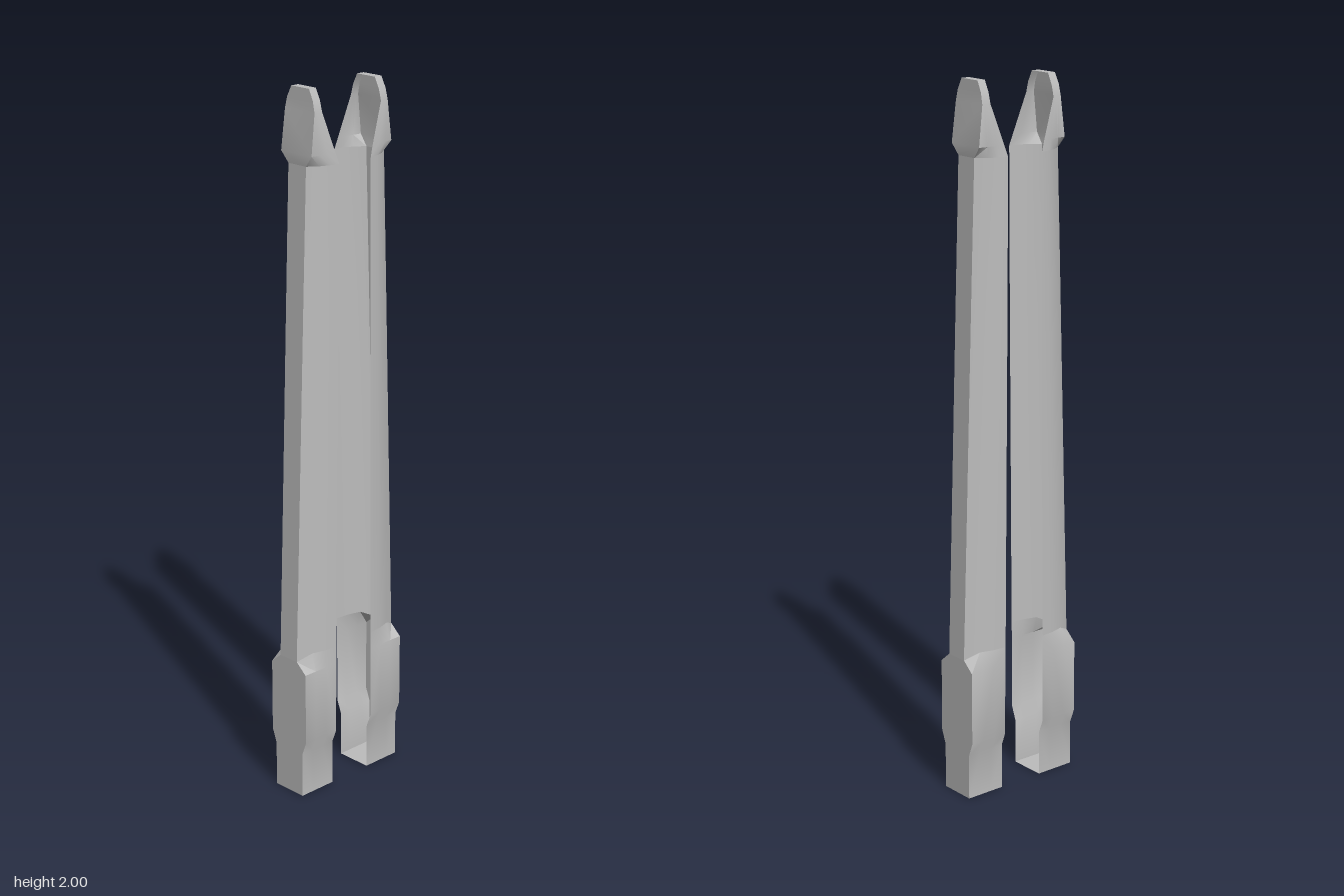
import * as THREE from 'three';
import { toCreasedNormals } from 'three/addons/utils/BufferGeometryUtils.js';

// Half of a cross-section, inner edge to outer corner: [x, y, z] points
const level = (y, xIn, xOut, zIn, zOut = zIn) =>
  [0, 1 / 3, 2 / 3, 1].map(t => [xIn + (xOut - xIn) * t, y, zIn + (zOut - zIn) * t]);

// Rounded section of the shaft; rise lifts the inner points at the shoulder
const rounded = (y, xIn, xOut, rise = 0) => {
  const z = [0.068, 0.064, 0.053, 0.033];
  return z.map((zi, i) => [xIn + (xOut - xIn) * i / 3, y + (i < 3 ? rise : 0), zi]);
};

// Foot, shaft and tip levels from bottom to top
const LEVELS = [
  level(0, 0.069, 0.187, 0.053),
  level(0.13, 0.069, 0.187, 0.053),
  level(0.17, 0.069, 0.187, 0.068),
  level(0.38, 0.068, 0.187, 0.068),
  rounded(0.41, 0.067, 0.187, 0.02),
  rounded(1.4, 0.06, 0.156),
  rounded(1.8, 0.058, 0.143),
  level(1.83, 0.068, 0.146, 0.065, 0.057),
  level(1.94, 0.107, 0.133, 0.056, 0.055),
  level(1.97, 0.107, 0.132, 0.048),
  level(2.0, 0.107, 0.131, 0.033),
];

// Trough-shaped shell, open toward the middle, for side s = 1 or -1
function shellGeometry(s, first, last, floor, roof) {
  const rows = LEVELS.slice(first, last + 1).map(half => {
    const back = half.map(([x, y, z]) => [x, y, -z]).reverse();
    return [...half, ...back].map(([x, y, z]) => [s * x, y, z]);
  });
  const pos = [];
  const tri = (a, b, c) => (s > 0 ? pos.push(...a, ...b, ...c) : pos.push(...a, ...c, ...b));
  const quad = (a, b, c, d) => { tri(a, b, c); tri(a, c, d); };
  for (let r = 0; r < rows.length - 1; r++) {
    const a = rows[r], b = rows[r + 1];
    for (let i = 0; i < 7; i++) quad(a[i], a[i + 1], b[i + 1], b[i]);
  }
  // End plates
  for (let i = 0; i < 3; i++) {
    const a = rows[0], b = rows[rows.length - 1];
    if (floor) quad(a[i], a[7 - i], a[6 - i], a[i + 1]);
    if (roof) quad(b[i], b[i + 1], b[6 - i], b[7 - i]);
  }
  const g = new THREE.BufferGeometry();
  g.setAttribute('position', new THREE.Float32BufferAttribute(pos, 3));
  return toCreasedNormals(g, 0.6);
}

export function createModel() {
  const model = new THREE.Group();
  const grey = new THREE.MeshStandardMaterial({ color: 0xbdbdbd, side: THREE.DoubleSide });
  grey.name = 'grey';

  for (const [side, s] of [['left', 1], ['right', -1]]) {
    const bar = new THREE.Group();
    bar.name = side + 'Bar';
    const add = (name, ...args) => {
      const mesh = new THREE.Mesh(shellGeometry(s, ...args), grey);
      mesh.name = name;
      bar.add(mesh);
    };
    add('foot', 0, 4, true, false);
    add('shaft', 4, 6, false, false);
    add('tip', 6, 10, false, true);
    model.add(bar);
  }
  return model;
}
